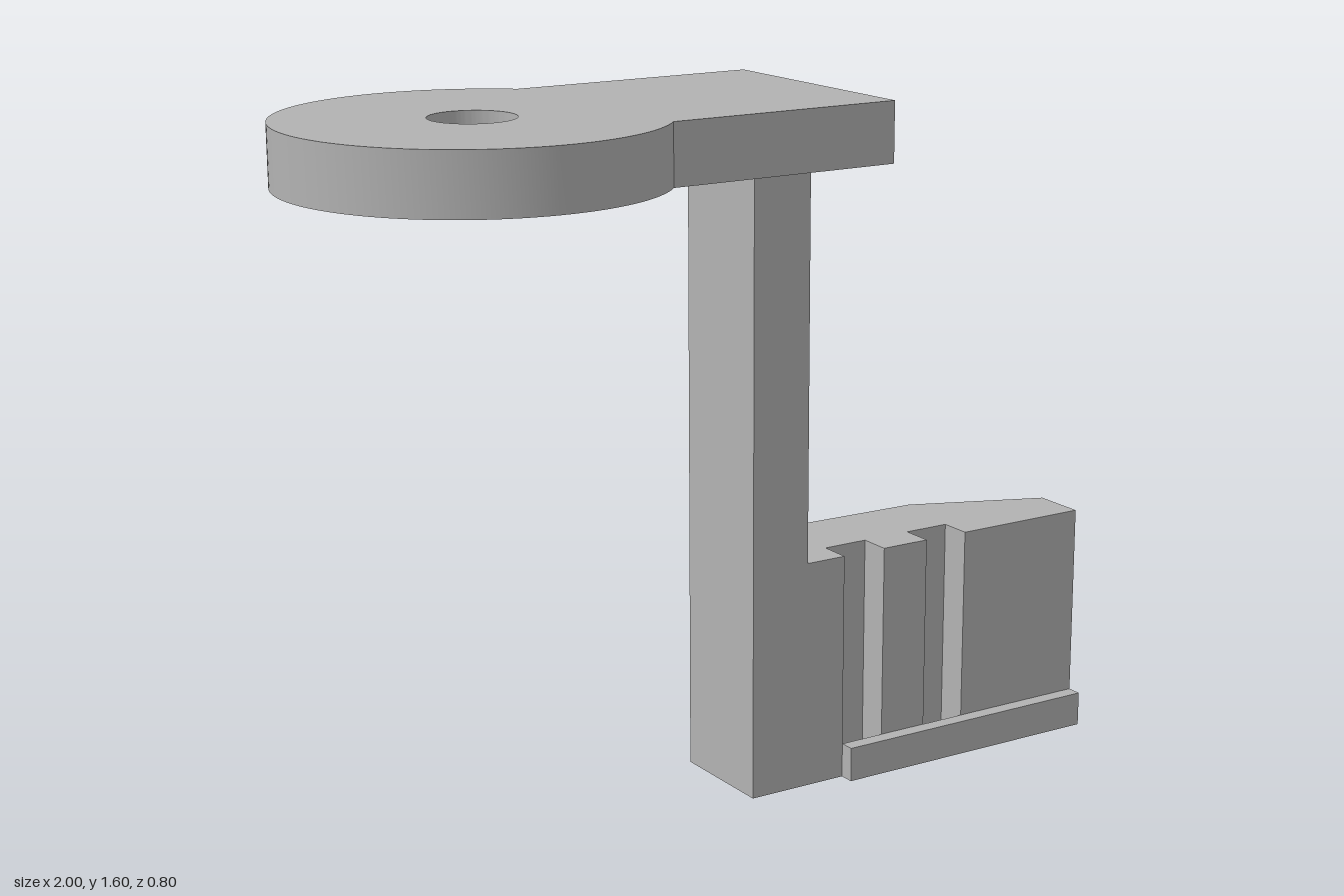
import * as THREE from 'three';
import { toCreasedNormals } from 'three/addons/utils/BufferGeometryUtils.js';

export function createModel() {
  const group = new THREE.Group();
  group.name = 'offsetBracket';
  const grey = new THREE.MeshStandardMaterial({ color: 0xb2b2b2 });
  grey.name = 'plain grey';

  const add = (name, geometry) => {
    const mesh = new THREE.Mesh(geometry, grey);
    mesh.name = name;
    group.add(mesh);
  };

  // Extrudes a plan outline, drawn as (x, -z), from height y0 to y1
  const extrudeUp = (shape, y0, y1) => {
    const g = new THREE.ExtrudeGeometry(shape, { depth: y1 - y0, bevelEnabled: false, curveSegments: 64 });
    g.rotateX(-Math.PI / 2).translate(0, y0, 0);
    return toCreasedNormals(g, Math.PI / 7);
  };

  const box = (x0, x1, y0, y1, z0, z1) =>
    new THREE.BoxGeometry(x1 - x0, y1 - y0, z1 - z0)
      .translate((x0 + x1) / 2, (y0 + y1) / 2, (z0 + z1) / 2);

  // Round eye plate running into a straight arm, with a bolt hole
  const cx = -0.6, r = 0.4, back = 0.3, front = -0.265;
  const plate = new THREE.Shape();
  plate.moveTo(0.23, front);
  plate.lineTo(0.23, back);
  plate.absarc(cx, 0, r, Math.asin(back / r), 2 * Math.PI + Math.asin(front / r), false);
  plate.closePath();
  const hole = new THREE.Path();
  hole.absarc(cx, 0, 0.09, 0, Math.PI * 2, true);
  plate.holes.push(hole);
  add('eyePlate', extrudeUp(plate, 1.47, 1.6));

  // Upright post
  add('post', box(0.085, 0.23, 0, 1.47, -0.3, -0.035));

  // Tapered jaw with two vertical slots cut into its front
  const jaw = new THREE.Shape();
  jaw.moveTo(0.23, 0.035);
  for (const [a, b] of [[0.33, 0.44], [0.56, 0.67]]) {
    jaw.lineTo(a, 0.035);
    jaw.lineTo(a, 0.11);
    jaw.lineTo(b, 0.11);
    jaw.lineTo(b, 0.035);
  }
  jaw.lineTo(1, 0.035);
  jaw.lineTo(1, 0.16);
  jaw.lineTo(0.695, 0.287);
  jaw.lineTo(0.23, 0.3);
  jaw.closePath();
  add('slottedJaw', extrudeUp(jaw, 0, 0.53));

  // Lip along the foot of the jaw
  add('lip', box(0.33, 1, 0, 0.08, -0.035, 0));

  return group;
}
